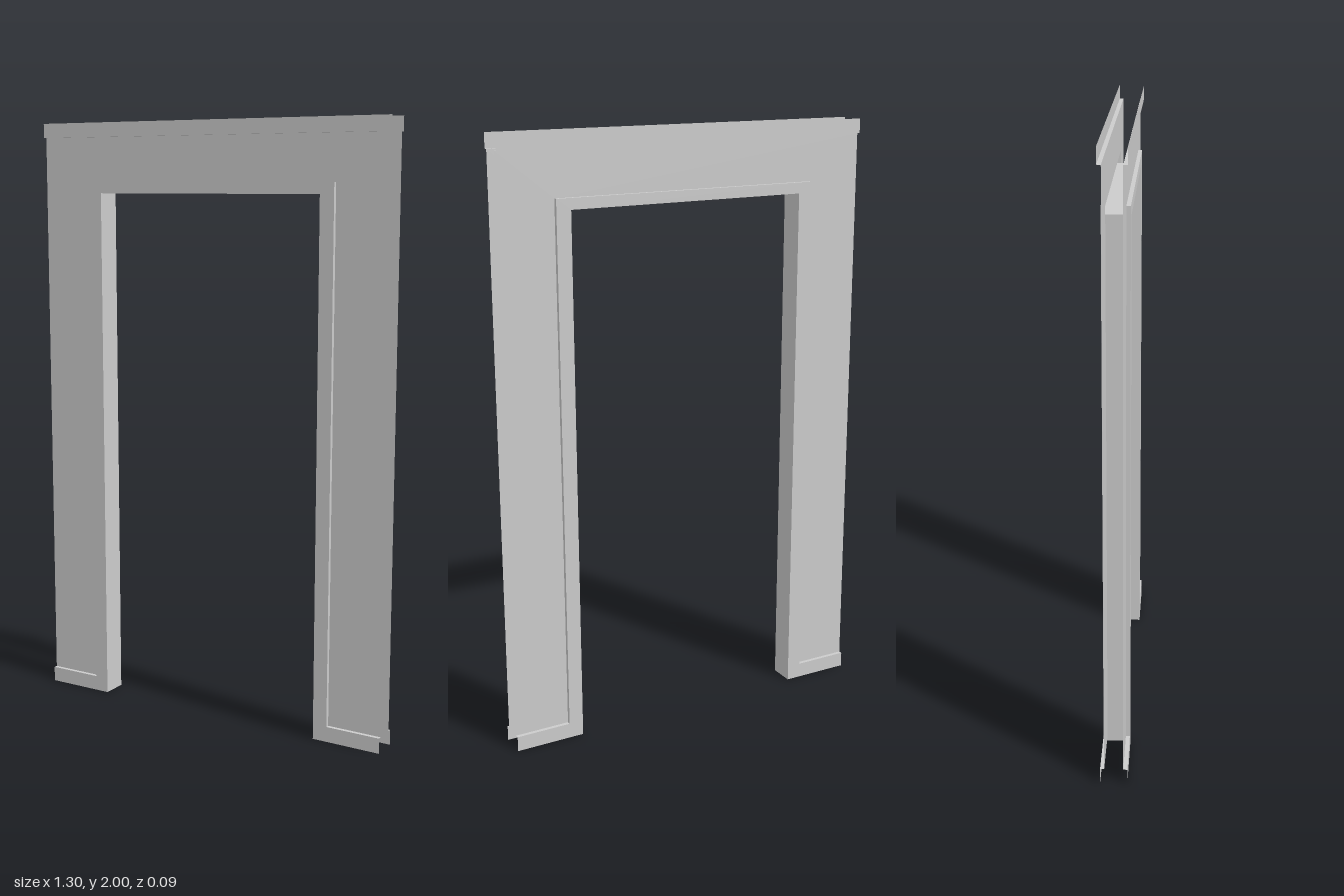
import * as THREE from 'three';

const W = 0.65, H = 2;              // half width and height of the wall
const OPEN = 0.413, OPEN_TOP = 1.766; // doorway opening
const TRIM = 0.462, TRIM_TOP = 1.802; // outer edge of the door casing
const BASE = 0.051, CORNICE = 1.952;  // skirting top and cornice bottom
const Z_WALL = 0.03, Z_TRIM = 0.043;  // depth of wall skin and raised trim

const material = new THREE.MeshStandardMaterial({ color: 0xcccccc, side: THREE.DoubleSide, flatShading: true });

function add(parent, name, geometry, z = 0) {
  const mesh = new THREE.Mesh(geometry, material);
  mesh.name = name;
  mesh.position.z = z;
  parent.add(mesh);
}

// flat sheet outlined by x, y points
function sheet(points) {
  return new THREE.ShapeGeometry(new THREE.Shape(points.map(([x, y]) => new THREE.Vector2(x, y))));
}

// band that follows an x, y path and spans z0 to z1
function band(path, z0, z1) {
  const positions = [];
  for (let i = 0; i + 1 < path.length; i++) {
    const [a, b] = path[i], [c, d] = path[i + 1];
    positions.push(a, b, z0, c, d, z0, c, d, z1, a, b, z0, c, d, z1, a, b, z1);
  }
  const geometry = new THREE.BufferGeometry();
  geometry.setAttribute('position', new THREE.Float32BufferAttribute(positions, 3));
  geometry.computeVertexNormals();
  return geometry;
}

// one face of the wall: skin, casing with skirting, cornice and their ledges
function wallSide(name) {
  const side = new THREE.Group();
  side.name = name;
  const reveal = [[-OPEN, 0], [-OPEN, OPEN_TOP], [OPEN, OPEN_TOP], [OPEN, 0]];
  const ledge = [[W, BASE], [TRIM, BASE], [TRIM, TRIM_TOP], [-TRIM, TRIM_TOP], [-TRIM, BASE], [-W, BASE]];

  add(side, 'wallPanel', sheet([...ledge, [-W, CORNICE], [W, CORNICE]]), Z_WALL);
  add(side, 'casingAndSkirting', sheet([[W, 0], ...ledge, [-W, 0], ...reveal]), Z_TRIM);
  add(side, 'trimLedge', band(ledge, Z_WALL, Z_TRIM));
  add(side, 'cornice', sheet([[-W, CORNICE], [W, CORNICE], [W, H], [-W, H]]), Z_TRIM);
  add(side, 'corniceUnderside', band([[-W, CORNICE], [W, CORNICE]], Z_WALL, Z_TRIM));
  return side;
}

export function createModel() {
  const model = new THREE.Group();
  model.name = 'doorwayWall';
  const back = wallSide('backSide');
  back.rotation.y = Math.PI;
  model.add(wallSide('frontSide'), back);

  // lining of the doorway, joining both sides
  add(model, 'doorwayLining',
    band([[-OPEN, 0], [-OPEN, OPEN_TOP], [OPEN, OPEN_TOP], [OPEN, 0]], -Z_TRIM, Z_TRIM));
  return model;
}
